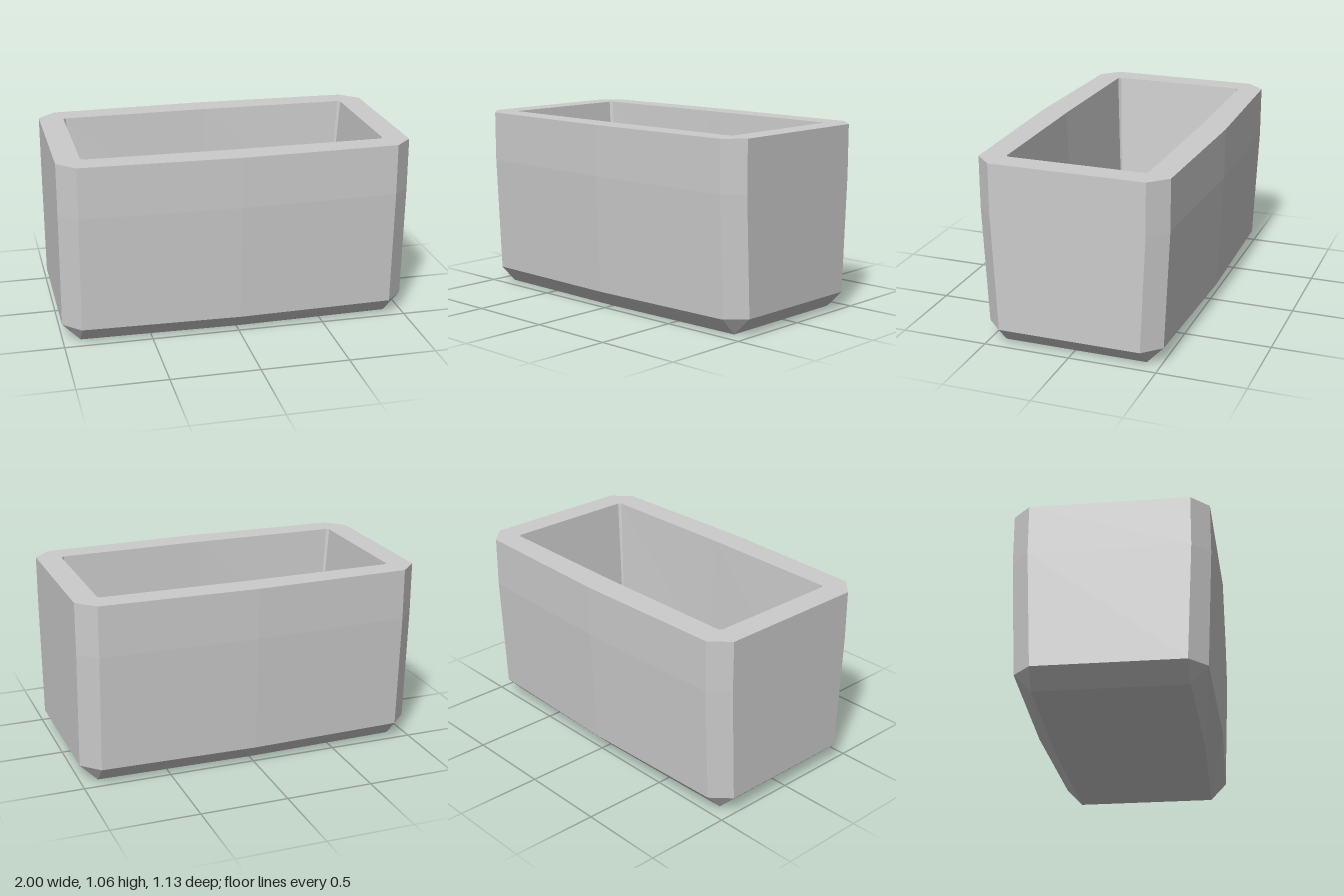
import * as THREE from 'three';

// Ten-point ring: chamfered rectangle whose long sides bow out at x = 0.
// xs/zs: end face half-width and half-depth, xc/zc: long-side corner, zm: bowed middle
function ring([y, xs, xc, zs, zc, zm]) {
  return [
    [xs, -zs], [xs, zs], [xc, zc], [0, zm], [-xc, zc],
    [-xs, zs], [-xs, -zs], [-xc, -zc], [0, -zm], [xc, -zc],
  ].map(([x, z]) => new THREE.Vector3(x, y, z));
}

// Joins consecutive rings with triangles, dropping collapsed ones
function loft(sections) {
  const rings = sections.map(ring);
  const positions = [];
  const triangle = (a, b, c) => {
    if (new THREE.Triangle(a, b, c).getArea() < 1e-6) return;
    for (const p of [a, b, c]) positions.push(p.x, p.y, p.z);
  };
  for (let i = 0; i < rings.length - 1; i++) {
    const low = rings[i], high = rings[i + 1];
    for (let j = 0; j < low.length; j++) {
      const k = (j + 1) % low.length;
      triangle(low[j], high[j], high[k]);
      triangle(low[j], high[k], low[k]);
    }
  }
  const geometry = new THREE.BufferGeometry();
  geometry.setAttribute('position', new THREE.Float32BufferAttribute(positions, 3));
  geometry.computeVertexNormals();
  return geometry;
}

export function createModel() {
  const group = new THREE.Group();
  group.name = 'planterBox';
  const material = new THREE.MeshStandardMaterial({ color: 0xcccccc, flatShading: true });

  const addPart = (name, sections) => {
    const mesh = new THREE.Mesh(loft(sections), material);
    mesh.name = name;
    group.add(mesh);
  };

  const top = [1.06, 1, 0.9, 0.44, 0.54, 0.565];
  const opening = [1.06, 0.86, 0.845, 0.385, 0.4, 0.41];

  // Underside, bevelled foot and slightly flared walls
  addPart('outerShell', [
    [0, 0, 0, 0, 0, 0],
    [0, 0.9, 0.9, 0.415, 0.415, 0.435],
    [0.1, 1, 0.9, 0.41, 0.51, 0.535],
    [0.77, 1, 0.9, 0.44, 0.54, 0.565],
    top,
  ]);

  // Flat top edge
  addPart('rim', [top, opening]);

  // Tapered inside walls, sloped lower band and floor
  addPart('innerCavity', [
    opening,
    [0.28, 0.79, 0.785, 0.355, 0.36, 0.38],
    [0.2, 0.61, 0.61, 0.28, 0.28, 0.295],
    [0.2, 0, 0, 0, 0, 0],
  ]);

  return group;
}
